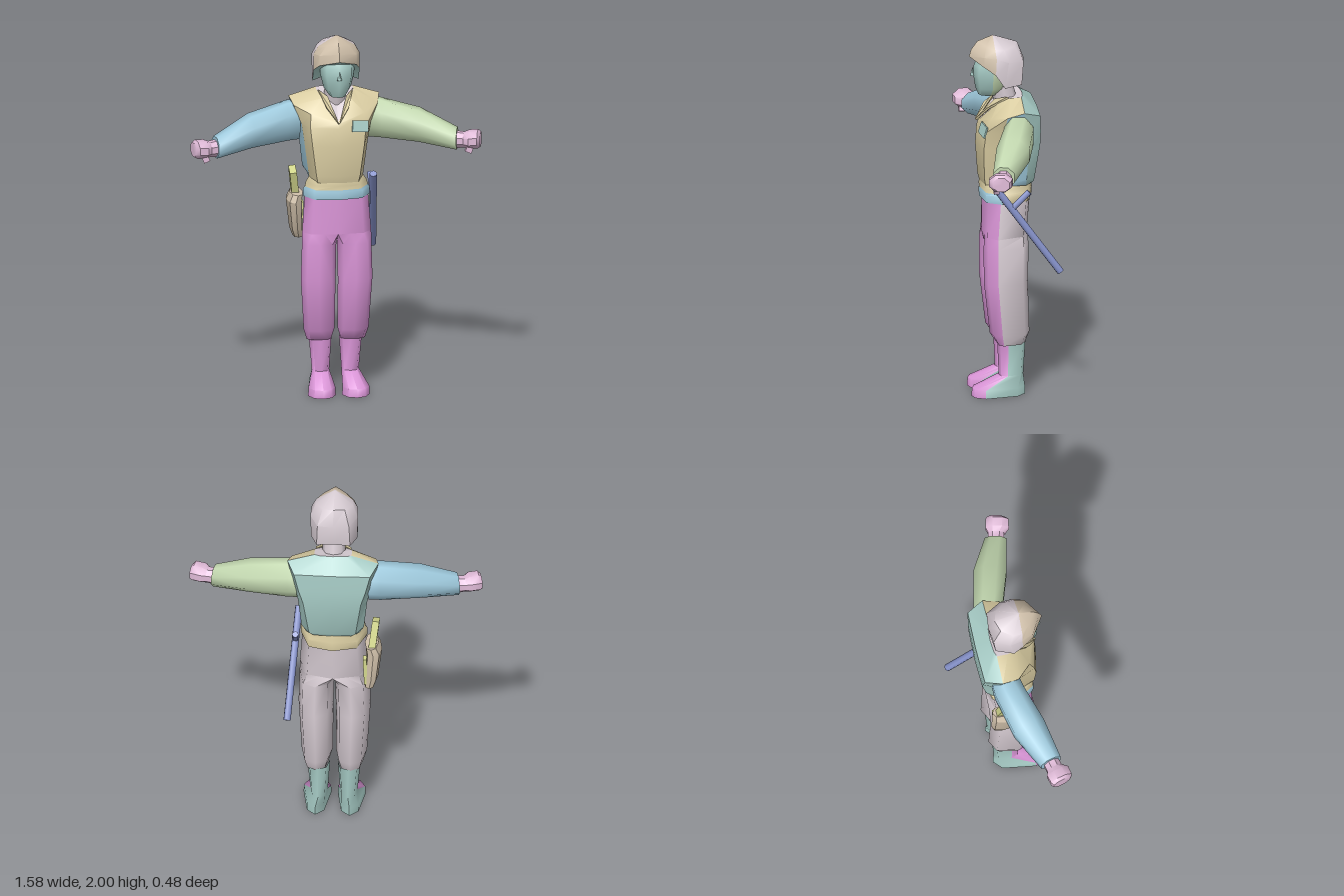
import * as THREE from 'three';
import { toCreasedNormals } from 'three/addons/utils/BufferGeometryUtils.js';

const material = (name, color) => {
  const m = new THREE.MeshStandardMaterial({ color });
  m.name = name;
  return m;
};

export function createModel() {
  const pink = material('trouser pink', 0xda95d7);
  const lilac = material('pale lilac', 0xd8cdd4);
  const teal = material('soft teal', 0xa8cdc7);
  const tan = material('vest tan', 0xdacda2);
  const blue = material('sleeve blue', 0x9fcadd);
  const green = material('sleeve green', 0xc4d9b1);
  const rose = material('hand rose', 0xe0bbd8);
  const slate = material('baton slate', 0x8692ca);
  const sand = material('helmet sand', 0xd0c0aa);
  const yellow = material('sidearm yellow', 0xd4d88e);

  const model = new THREE.Group();
  model.name = 'figure';
  const add = (name, geo, mat) => {
    const m = new THREE.Mesh(geo, mat);
    m.name = name;
    model.add(m);
    return m;
  };

  // Skin over rings of points; pick(row, column) gives a material index.
  // Columns are counted from the front centre to the back centre on both sides.
  // caps holds a material index for the first and last ring, or null for open.
  function loft(name, rings, mats, pick = () => 0, caps = [0, 0], crease = 1.1) {
    const n = rings[0].length, pos = rings.flat(2), lists = mats.map(() => []);
    rings.slice(0, -1).forEach((_, i) => {
      for (let j = 0; j < n; j++) {
        const k = (j + 1) % n, a = i * n + j, b = i * n + k, c = a + n, d = b + n;
        lists[pick(i, Math.min(j, n - 1 - j))].push(a, b, d, a, d, c);
      }
    });
    [0, rings.length - 1].forEach((row, e) => {
      if (caps[e] === null) return;
      const centre = pos.length / 3;
      for (let q = 0; q < 3; q++) pos.push(rings[row].reduce((t, p) => t + p[q], 0) / n);
      for (let j = 0; j < n; j++) {
        const a = row * n + j, b = row * n + (j + 1) % n;
        lists[caps[e]].push(centre, ...(e ? [a, b] : [b, a]));
      }
    });
    // Turn the skin outwards when the enclosed volume is negative
    const mid = new THREE.Vector3().fromArray(rings[0].reduce((t, p) => t.map((v, q) => v + p[q] / n), [0, 0, 0]));
    const at = (i) => new THREE.Vector3().fromArray(pos, i * 3).sub(mid);
    let volume = 0;
    for (const l of lists) for (let t = 0; t < l.length; t += 3) volume += at(l[t]).dot(at(l[t + 1]).cross(at(l[t + 2])));
    if (volume < 0) lists.forEach((l) => l.reverse());
    const geo = new THREE.BufferGeometry();
    geo.setAttribute('position', new THREE.Float32BufferAttribute(pos, 3));
    geo.setIndex(lists.flat());
    let start = 0;
    lists.forEach((l, m) => { geo.addGroup(start, l.length, m); start += l.length; });
    return add(name, toCreasedNormals(geo, crease), mats);
  }

  // Ring mirrored from a half outline running front centre to back centre
  const mirror = (cx, half) => [
    ...half.map(([x, y, z]) => [cx + x, y, z]),
    ...half.slice(1, -1).reverse().map(([x, y, z]) => [cx - x, y, z]),
  ];
  // Eight sided level ring: half width w, front, side and back depth
  const oval = (cx, y, w, zf, zs, zb, k = 0.72) => mirror(cx, [
    [0, y, zf], [w * k, y, zs + (zf - zs) * 0.78], [w, y, zs],
    [w * k, y, zs + (zb - zs) * 0.8], [0, y, zb],
  ]);
  const frontBack = (i, c) => (c < 2 ? 0 : 1);

  function rod(name, a, b, r, mat) {
    const p = new THREE.Vector3(...a), d = new THREE.Vector3(...b).sub(p);
    const m = add(name, new THREE.CylinderGeometry(r, r, d.length(), 8), mat);
    m.position.copy(p).addScaledVector(d, 0.5);
    m.quaternion.setFromUnitVectors(new THREE.Vector3(0, 1, 0), d.normalize());
  }
  const box = (name, size, at, rot, mat) => {
    const m = add(name, new THREE.BoxGeometry(...size), mat);
    m.position.set(...at);
    m.rotation.set(...rot);
  };

  // Hips: an open tube that meets the tops of both legs
  const hip = oval(0.006, 0.9, 0.187, 0.172, 0.105, -0.073, 0.75);
  loft('hips', [hip, oval(0.006, 1.1, 0.172, 0.172, 0.09, -0.09, 0.75)],
    [pink, lilac], frontBack, [null, null]);

  for (const s of [1, -1]) {
    const side = s > 0 ? 'left' : 'right', x = 0.006 + s * 0.092;
    // Leg top: one half of the hip ring, closed along the middle
    const [f, fo, o, bo, b] = s > 0 ? hip.slice(0, 5) : [hip[0], hip[7], hip[6], hip[5], hip[4]];
    const between = (p, q) => p.map((v, i) => (v + q[i]) / 2);
    const top = [between(f, fo), fo, o, bo, between(b, bo), b, between(f, b), f];
    const level = (...a) => {
      const r = oval(...a);
      return s > 0 ? r : [r[0], ...r.slice(1).reverse()];
    };
    // Baggy trouser leg and boot
    loft(side + 'TrouserLeg', [
      level(x, 0.29, 0.066, 0.1, 0.07, -0.05),
      level(x, 0.35, 0.084, 0.14, 0.08, -0.075),
      level(x + s * 0.008, 0.64, 0.094, 0.173, 0.105, -0.065),
      level(x + s * 0.003, 0.84, 0.093, 0.173, 0.105, -0.071),
      top,
    ], [pink, lilac], frontBack, [1, null]);
    loft(side + 'Boot', [
      oval(x + 0.004, 0, 0.075, 0.24, 0.17, -0.05, 0.62),
      oval(x + 0.004, 0.045, 0.073, 0.236, 0.17, -0.05, 0.62),
      oval(x - s * 0.012, 0.11, 0.047, 0.09, 0.045, -0.043),
      oval(x - s * 0.01, 0.3, 0.062, 0.098, 0.045, -0.055),
    ], [pink, teal], frontBack, [1, null]);

    // Sleeve, hand and thumb
    const band = ([px, y, z, ry, rz, slant = 0]) => Array.from({ length: 8 }, (_, i) => {
      const t = (i + 0.5) * Math.PI / 4;
      return [s * (px - slant * Math.sin(t)), y + 1.07 * ry * Math.cos(t), z + 1.07 * rz * Math.sin(t)];
    });
    loft(side + 'Sleeve', [
      [0.185, 1.505, -0.005, 0.106, 0.075], [0.25, 1.501, 0.003, 0.106, 0.082],
      [0.46, 1.468, 0.062, 0.088, 0.088, 0.02], [0.655, 1.405, 0.137, 0.058, 0.057, 0.015],
    ].map(band), [s > 0 ? green : blue], undefined, [null, 0]);
    loft(side + 'Hand', [
      [0.65, 1.4, 0.138, 0.045, 0.042, 0.01], [0.69, 1.4, 0.148, 0.04, 0.042, 0.012],
      [0.715, 1.405, 0.16, 0.047, 0.062, 0.015], [0.762, 1.408, 0.17, 0.048, 0.06, 0.015],
      [0.778, 1.405, 0.168, 0.038, 0.045, 0.012],
    ].map(band), [rose], undefined, [null, 0], 0.7);
    box(side + 'Thumb', [0.035, 0.03, 0.03], [s * 0.712, 1.355, 0.185], [0, 0, s * -0.4], rose);
  }

  // Torso: tan front, blue flanks, teal back, open collar
  loft('vest', [
    [[0, 1.19, 0.185], [0.11, 1.19, 0.165], [0.145, 1.19, 0.07], [0.142, 1.19, -0.05], [0.1, 1.19, -0.085], [0, 1.19, -0.09]],
    [[0, 1.23, 0.195], [0.118, 1.23, 0.172], [0.15, 1.23, 0.068], [0.168, 1.23, -0.05], [0.125, 1.21, -0.095], [0, 1.21, -0.1]],
    [[0, 1.4, 0.207], [0.14, 1.4, 0.178], [0.172, 1.4, 0.07], [0.186, 1.4, -0.06], [0.155, 1.42, -0.125], [0, 1.42, -0.13]],
    [[0, 1.5, 0.2], [0.15, 1.5, 0.166], [0.187, 1.5, 0.08], [0.21, 1.5, -0.06], [0.18, 1.5, -0.125], [0, 1.5, -0.13]],
    [[0, 1.525, 0.192], [0.145, 1.57, 0.14], [0.228, 1.6, 0.06], [0.245, 1.63, -0.03], [0.205, 1.6, -0.12], [0, 1.6, -0.125]],
    [[0, 1.535, 0.18], [0.07, 1.645, 0.09], [0.1, 1.672, 0.03], [0.1, 1.675, -0.03], [0.07, 1.675, -0.04], [0, 1.675, -0.045]],
  ].map((h) => mirror(0.007, h)), [tan, blue, teal, lilac],
  (i, c) => (c < 2 ? 0 : c > 2 ? 2 : i < 4 ? 1 : 0), [null, 3], 0.6);

  // Collar lapels
  for (const s of [1, -1]) {
    const edge = (x, y, z) => [0.007 + s * x, y, z];
    const lapel = [edge(0.095, 1.672, 0.035), edge(0.05, 1.65, 0.1), edge(0.002, 1.525, 0.2), edge(0.06, 1.6, 0.145)];
    loft((s > 0 ? 'left' : 'right') + 'Lapel',
      [lapel, lapel.map(([x, y, z]) => [x, y + 0.008, z + 0.008])], [tan], undefined, [0, 0], 0.4);
  }
  box('chestPatch', [0.09, 0.062, 0.009], [0.125, 1.505, 0.179], [-0.25, 0.23, -0.06], teal);

  // Belt with a blue front, running up into the tan vest hem
  loft('beltAndHem', [
    oval(0.007, 1.093, 0.166, 0.165, 0.08, -0.085),
    oval(0.007, 1.097, 0.179, 0.185, 0.08, -0.097),
    oval(0.007, 1.14, 0.18, 0.189, 0.08, -0.1),
    oval(0.007, 1.15, 0.17, 0.185, 0.08, -0.098),
    oval(0.007, 1.175, 0.166, 0.188, 0.08, -0.097),
    oval(0.007, 1.205, 0.146, 0.185, 0.07, -0.09),
  ], [blue, tan], (i, c) => (i < 3 && c < 2 ? 0 : 1), [null, null]);

  // Neck and head
  rod('neck', [0.007, 1.62, 0.04], [0.007, 1.76, 0.075], 0.062, lilac);
  loft('head', [
    oval(0.007, 1.672, 0.045, 0.19, 0.13, 0.09),
    oval(0.007, 1.715, 0.074, 0.207, 0.12, 0.03),
    oval(0.007, 1.79, 0.092, 0.218, 0.12, 0.0),
    oval(0.007, 1.84, 0.093, 0.214, 0.12, 0.0),
    oval(0.007, 1.885, 0.085, 0.19, 0.11, 0.01),
  ], [teal, green], frontBack, [0, null]);
  const nose = add('nose', new THREE.ConeGeometry(0.013, 0.05, 4), teal);
  nose.position.set(0.007, 1.803, 0.221);

  // Helmet with a peaked front and lower neck guard
  loft('helmet', [
    [[0, 1.885, 0.24], [0.1, 1.85, 0.17], [0.125, 1.81, 0.11], [0.125, 1.735, 0.06], [0.09, 1.742, -0.035], [0, 1.755, -0.045]],
    [[0, 1.925, 0.228], [0.1, 1.905, 0.168], [0.124, 1.9, 0.105], [0.128, 1.88, 0.04], [0.085, 1.87, -0.045], [0, 1.87, -0.055]],
    [[0, 1.97, 0.195], [0.06, 1.955, 0.155], [0.1, 1.942, 0.11], [0.1, 1.942, 0.06], [0.06, 1.95, 0], [0, 1.96, -0.02]],
    [[0, 2, 0.118], [0.004, 2, 0.116], [0.006, 2, 0.112], [0.006, 2, 0.109], [0.004, 2, 0.106], [0, 2, 0.104]],
  ].map((h) => mirror(0.005, h)), [sand, lilac, teal], frontBack, [2, 1], 0.7);

  // Holster with the sidearm's grip above and barrel along its inner side
  loft('holster', [
    oval(-0.19, 0.85, 0.028, 0.035, -0.03, -0.08),
    oval(-0.2, 0.9, 0.036, 0.065, -0.02, -0.085),
    oval(-0.213, 1.06, 0.043, 0.1, 0, -0.085),
    oval(-0.2, 1.1, 0.036, 0.09, 0, -0.08),
  ], [sand], undefined, [0, 0], 0.5);
  box('sidearmGrip', [0.038, 0.16, 0.08], [-0.213, 1.155, 0], [0.3, 0, 0.12], yellow);
  box('sidearmBarrel', [0.02, 0.16, 0.045], [-0.17, 0.95, -0.05], [0, 0, -0.05], yellow);

  // Side handled baton
  rod('baton', [0.2, 1.225, 0.14], [0.242, 0.725, -0.225], 0.02, slate);
  rod('batonHandle', [0.212, 1.085, 0.03], [0.208, 1.172, -0.06], 0.017, slate);

  return model;
}
